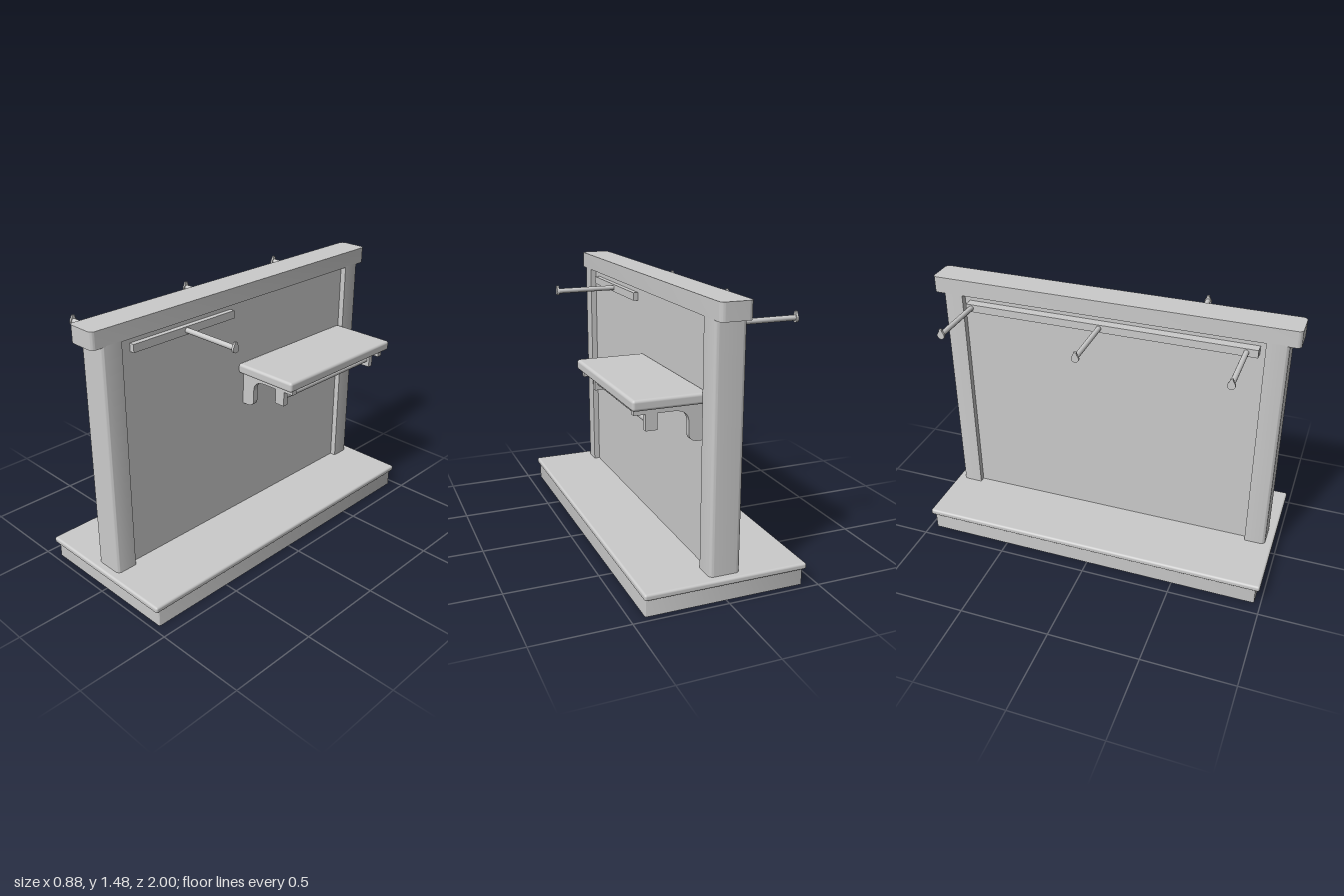
import * as THREE from 'three';
import { RoundedBoxGeometry } from 'three/addons/geometries/RoundedBoxGeometry.js';
import { toCreasedNormals } from 'three/addons/utils/BufferGeometryUtils.js';

const material = new THREE.MeshStandardMaterial({ color: 0xcccccc });

function add(parent, name, geometry, x = 0, y = 0, z = 0) {
  const mesh = new THREE.Mesh(geometry, material);
  mesh.name = name;
  mesh.position.set(x, y, z);
  parent.add(mesh);
  return mesh;
}

// Box given by its min and max corners, with optional edge rounding
function box(parent, name, [x0, y0, z0], [x1, y1, z1], r = 0) {
  const size = [x1 - x0, y1 - y0, z1 - z0];
  const geometry = r ? new RoundedBoxGeometry(...size, 3, r) : new THREE.BoxGeometry(...size);
  return add(parent, name, geometry, (x0 + x1) / 2, (y0 + y1) / 2, (z0 + z1) / 2);
}

function extrude(shape, depth) {
  const geometry = new THREE.ExtrudeGeometry(shape, { depth, bevelEnabled: false, curveSegments: 10 });
  return toCreasedNormals(geometry, 0.6);
}

// Rectangle in plan; corners at the y0 and y1 ends have their own radius
function planShape(hw, y0, y1, r0, r1) {
  const s = new THREE.Shape();
  s.moveTo(-hw + r0, y0);
  s.lineTo(hw - r0, y0);
  if (r0) s.absarc(hw - r0, y0 + r0, r0, -Math.PI / 2, 0);
  s.lineTo(hw, y1 - r1);
  if (r1) s.absarc(hw - r1, y1 - r1, r1, 0, Math.PI / 2);
  s.lineTo(-hw + r1, y1);
  if (r1) s.absarc(-hw + r1, y1 - r1, r1, Math.PI / 2, Math.PI);
  s.lineTo(-hw, y0 + r0);
  if (r0) s.absarc(-hw + r0, y0 + r0, r0, Math.PI, Math.PI * 1.5);
  return s;
}

// Display pin pointing along +x with a drop-shaped end stop
function pin(parent, name, z, start, end) {
  const group = new THREE.Group();
  group.name = name;
  group.position.set(0, 1.33, z);
  const length = end - start;
  const rod = new THREE.CylinderGeometry(0.014, 0.014, length, 16).rotateZ(Math.PI / 2);
  add(group, 'pinRod', rod, start + length / 2);
  const drop = new THREE.Shape();
  drop.moveTo(0.007, 0.032);
  drop.quadraticCurveTo(0.009, 0.018, 0.018, 0.007);
  drop.absarc(0, -0.003, 0.02, 0.5, Math.PI - 0.5, true);
  drop.quadraticCurveTo(-0.009, 0.018, -0.007, 0.032);
  add(group, 'pinStop', extrude(drop, 0.012).rotateY(Math.PI / 2), end - 0.012);
  parent.add(group);
  return group;
}

export function createModel() {
  const model = new THREE.Group();
  model.name = 'displayStand';

  // Hollow plinth under a rounded deck
  const frame = planShape(0.425, -0.965, 0.965, 0.01, 0.01);
  frame.holes.push(planShape(0.39, -0.93, 0.93, 0, 0));
  add(model, 'plinthFrame', extrude(frame, 0.1).rotateX(-Math.PI / 2));
  box(model, 'deck', [-0.435, 0.092, -0.987], [0.435, 0.126, 0.987], 0.012);

  // Posts with rounded outer corners, standing through the deck
  for (const side of [1, -1]) {
    const post = extrude(planShape(0.083, 0.83, 0.945, 0, 0.025), 1.39).rotateX(-Math.PI / 2);
    add(model, side > 0 ? 'backPost' : 'frontPost', post).rotation.y = side > 0 ? 0 : Math.PI;
  }

  // Panel and top beam
  box(model, 'panel', [-0.05, 0.02, -0.835], [0.05, 1.39, 0.835]);
  const beam = extrude(planShape(0.083, -1, 1, 0.025, 0.025), 0.09).rotateX(-Math.PI / 2);
  add(model, 'topBeam', beam, 0, 1.385);

  // Rails and pins on both faces
  box(model, 'leftRail', [0.045, 1.307, 0.09], [0.078, 1.35, 0.76]);
  box(model, 'rightRail', [-0.102, 1.307, -0.8], [-0.045, 1.35, 0.8]);
  pin(model, 'leftPin', 0.42, 0.07, 0.42);
  for (const z of [-0.77, -0.035, 0.74]) {
    pin(model, 'rightPin', z, 0.095, 0.44).rotation.y = Math.PI;
  }

  // Shelf on curved brackets with a hanging rod
  const shelf = new THREE.Group();
  shelf.name = 'shelf';
  model.add(shelf);
  box(shelf, 'shelfBoard', [0.045, 0.967, -0.828], [0.43, 1.022, 0.028], 0.015);
  const profile = new THREE.Shape();
  profile.moveTo(0.045, 0.775);
  profile.lineTo(0.085, 0.775);
  profile.quadraticCurveTo(0.13, 0.778, 0.13, 0.815);
  profile.lineTo(0.13, 0.87);
  profile.bezierCurveTo(0.13, 0.915, 0.155, 0.935, 0.21, 0.937);
  for (const [x, y] of [[0.29, 0.937], [0.29, 0.855], [0.35, 0.855], [0.35, 0.937],
    [0.41, 0.937], [0.41, 0.975], [0.045, 0.975]]) profile.lineTo(x, y);
  for (const z of [-0.77, -0.023]) {
    add(shelf, 'bracket', extrude(profile, 0.03), 0, 0, z - 0.015);
  }
  const rod = new THREE.CylinderGeometry(0.018, 0.018, 0.747, 20).rotateX(Math.PI / 2);
  add(shelf, 'hangingRod', rod, 0.32, 0.896, -0.3965);

  return model;
}
